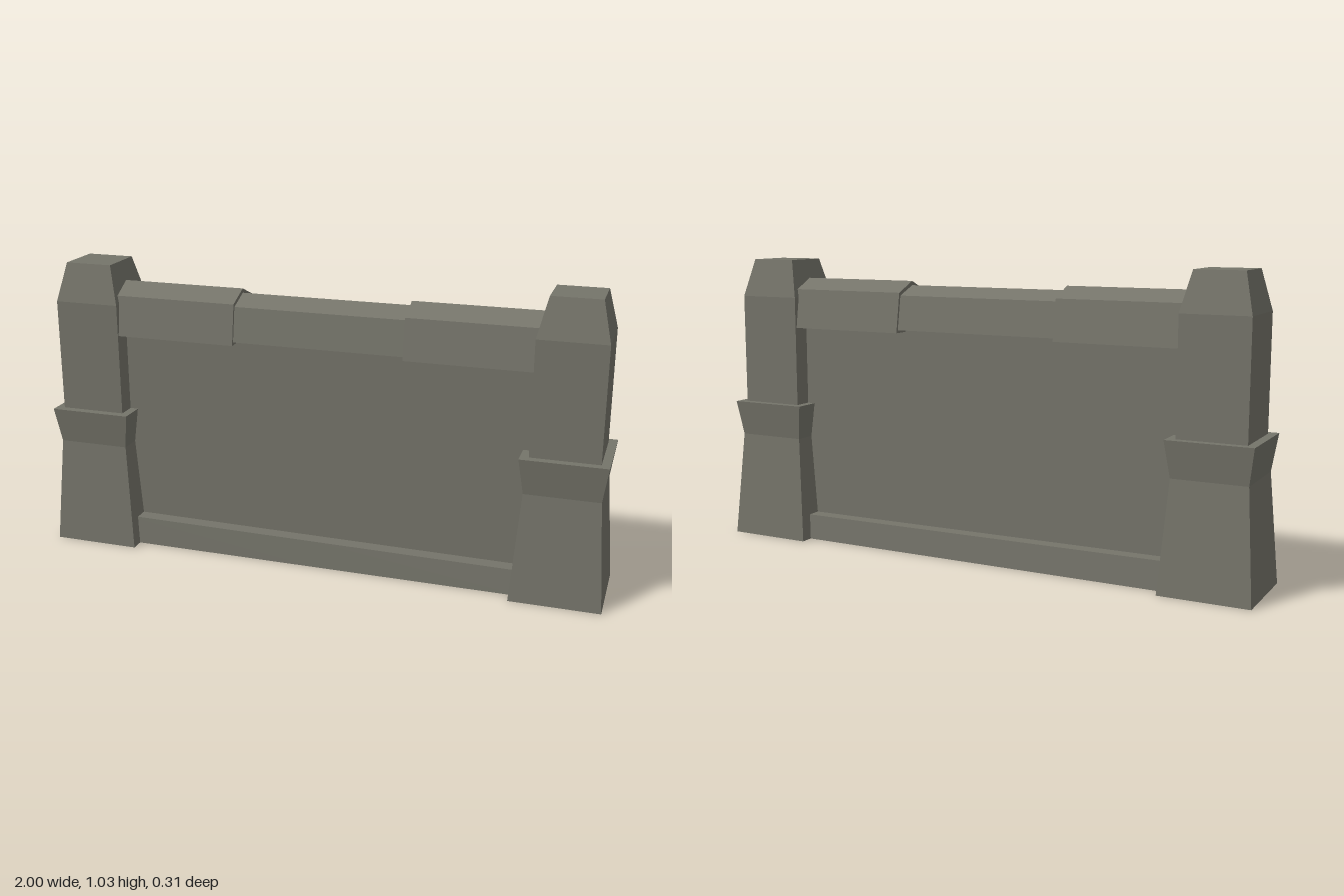
import * as THREE from 'three';

const stone = new THREE.MeshStandardMaterial({ color: 0x75746a, flatShading: true, side: THREE.DoubleSide });
stone.name = 'weathered stone';

// Joins equal-length point rings into flat-faced skin; caps fill chosen end rings
function loft(rings, { capStart = false, capEnd = false, closed = true } = {}) {
  const pos = [];
  const tri = (a, b, c) => pos.push(...a, ...b, ...c);
  for (let r = 0; r < rings.length - 1; r++) {
    const A = rings[r], B = rings[r + 1], n = A.length;
    for (let i = 0; i < (closed ? n : n - 1); i++) {
      const j = (i + 1) % n;
      tri(A[i], A[j], B[j]);
      tri(A[i], B[j], B[i]);
    }
  }
  const cap = (ring, flip) => {
    for (let i = 1; i < ring.length - 1; i++) {
      if (flip) tri(ring[0], ring[i + 1], ring[i]);
      else tri(ring[0], ring[i], ring[i + 1]);
    }
  };
  if (capStart) cap(rings[0], true);
  if (capEnd) cap(rings[rings.length - 1], false);
  const g = new THREE.BufferGeometry();
  g.setAttribute('position', new THREE.Float32BufferAttribute(pos, 3));
  g.computeVertexNormals();
  return g;
}

// Square ring of half width h at height y, anticlockwise seen from above
const square = (h, y) => [[-h, y, h], [h, y, h], [h, y, -h], [-h, y, -h]];

function part(name, geometry) {
  const mesh = new THREE.Mesh(geometry, stone);
  mesh.name = name;
  return mesh;
}

// Flared pedestal with an open foot, and a shaft with a tapered cap
function pillar(name, x) {
  const group = new THREE.Group();
  group.name = name;
  group.add(
    part('pedestal', loft([square(0.155, 0), square(0.127, 0.38), square(0.145, 0.505)], { capEnd: true })),
    part('shaft', loft([square(0.116, 0.5), square(0.116, 0.9), square(0.084, 1.035)], { capEnd: true }))
  );
  group.position.x = x;
  return group;
}

// Ridged coping stone running along x
function coping(name, x0, x1, { low, shoulder, ridge, zLow, zHigh }) {
  const ring = (x) => [
    [x, low, zLow], [x, low, -zLow], [x, shoulder, -zHigh], [x, ridge, 0], [x, shoulder, zHigh],
  ];
  return part(name, loft([ring(x0), ring(x1)], { capStart: true, capEnd: true }));
}

export function createModel() {
  const model = new THREE.Group();
  model.name = 'stoneWall';

  model.add(pillar('leftPillar', 0.845), pillar('rightPillar', -0.845));

  // Recessed wall panel
  const panel = part('wallPanel', new THREE.BoxGeometry(1.5, 0.78, 0.1));
  panel.position.y = 0.46;
  model.add(panel);

  // Plinth, open underneath, with a slightly uneven top edge
  const plinthRing = (x, top) => [[x, 0, -0.108], [x, top, -0.1], [x, top, 0.1], [x, 0, 0.108]];
  model.add(part('plinth', loft([plinthRing(-0.75, 0.1), plinthRing(0, 0.095), plinthRing(0.75, 0.09)], { closed: false })));

  // Coping: two larger end stones and a lower middle stone
  const end = { low: 0.79, shoulder: 0.93, ridge: 0.967, zLow: 0.11, zHigh: 0.088 };
  const middle = { low: 0.8, shoulder: 0.92, ridge: 0.952, zLow: 0.1, zHigh: 0.08 };
  model.add(
    coping('leftCoping', 0.3, 0.75, end),
    coping('middleCoping', -0.3, 0.3, middle),
    coping('rightCoping', -0.75, -0.3, end)
  );
  return model;
}
